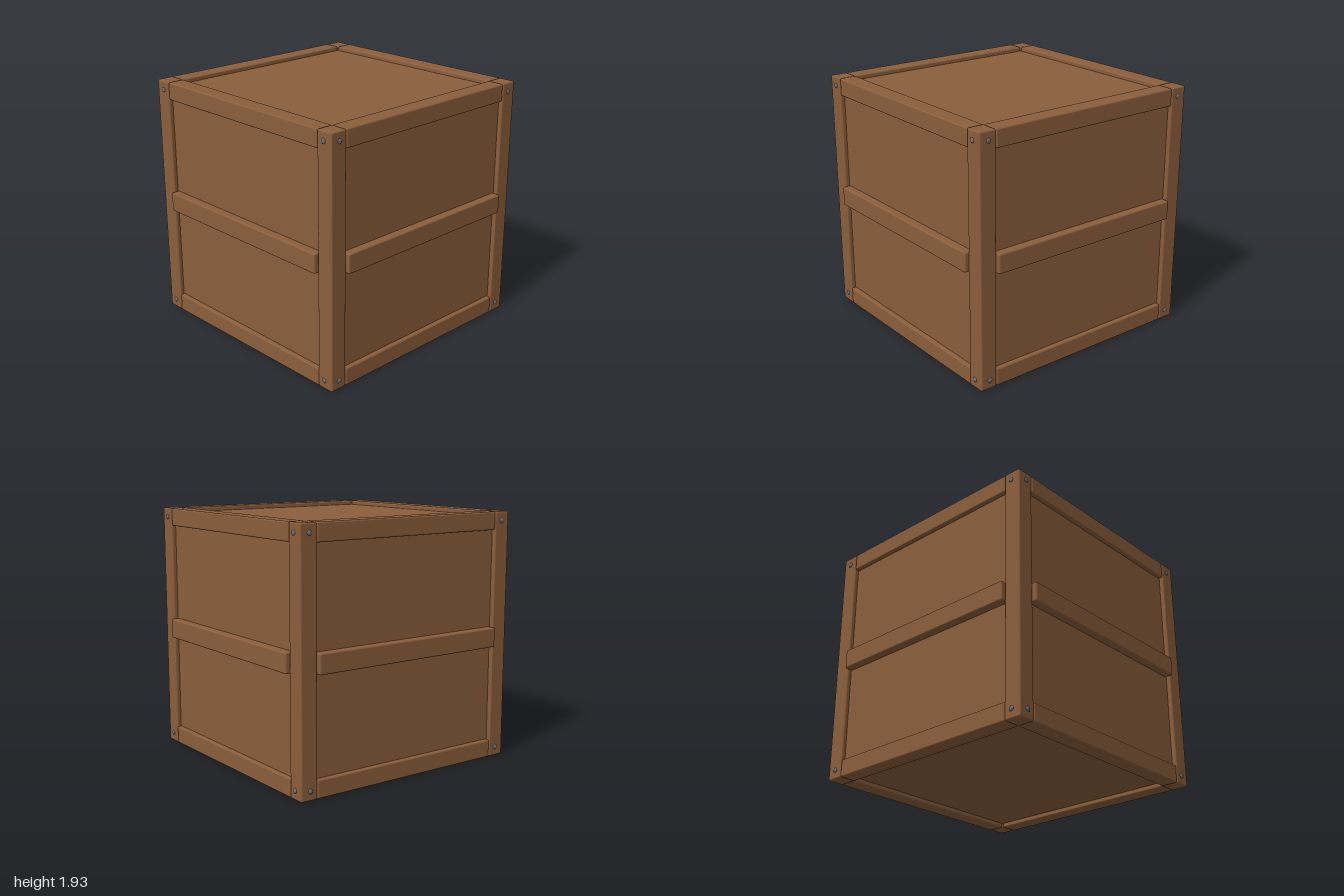
import * as THREE from 'three';
import { RoundedBoxGeometry } from 'three/addons/geometries/RoundedBoxGeometry.js';

export function createModel() {
  const crate = new THREE.Group();
  crate.name = 'woodenCrate';

  const wood = new THREE.MeshStandardMaterial({ color: 0x8b5e3c });
  wood.name = 'brown wood';
  const steel = new THREE.MeshStandardMaterial({ color: 0x6b7078 });
  steel.name = 'grey steel';

  const H = 1.93;      // crate height
  const T = 0.138;     // beam thickness
  const C = 0.901;     // beam centre line
  const L = 1.66;      // rail length
  const R = 0.012;     // edge rounding

  function add(parent, name, geometry, material, x, y, z) {
    const mesh = new THREE.Mesh(geometry, material);
    mesh.name = name;
    mesh.position.set(x, y, z);
    parent.add(mesh);
    return mesh;
  }

  // Recessed panels, all six faces of one core
  add(crate, 'panels', new THREE.BoxGeometry(1.87, H - 0.07, 1.87), wood, 0, H / 2, 0);

  const postGeo = new RoundedBoxGeometry(T, H, T, 3, R);
  const railGeo = new RoundedBoxGeometry(L, T, T, 3, R);
  const slatGeo = new RoundedBoxGeometry(L, 0.152, 0.1, 3, R);

  // Low domed bolt head, facing +z
  const boltGeo = new THREE.LatheGeometry([
    new THREE.Vector2(0.019, -0.01),
    new THREE.Vector2(0.019, 0.003),
    new THREE.Vector2(0.015, 0.007),
    new THREE.Vector2(0.008, 0.0095),
    new THREE.Vector2(0, 0.01),
  ], 16).rotateX(Math.PI / 2);

  // Each side carries two edge rails, a middle slat, one post and four bolts
  ['front', 'left', 'back', 'right'].forEach((label, i) => {
    const side = new THREE.Group();
    side.name = label + 'Side';
    side.rotation.y = i * Math.PI / 2;
    crate.add(side);

    add(side, 'bottomRail', railGeo, wood, 0, T / 2, C);
    add(side, 'topRail', railGeo, wood, 0, H - T / 2, C);
    add(side, 'middleSlat', slatGeo, wood, 0, 0.965, 0.95);
    add(side, 'cornerPost', postGeo, wood, C, H / 2, C);

    for (const x of [-0.894, 0.894]) {
      for (const y of [0.07, H - 0.07]) {
        add(side, 'bolt', boltGeo, steel, x, y, C + T / 2);
      }
    }
  });

  return crate;
}
